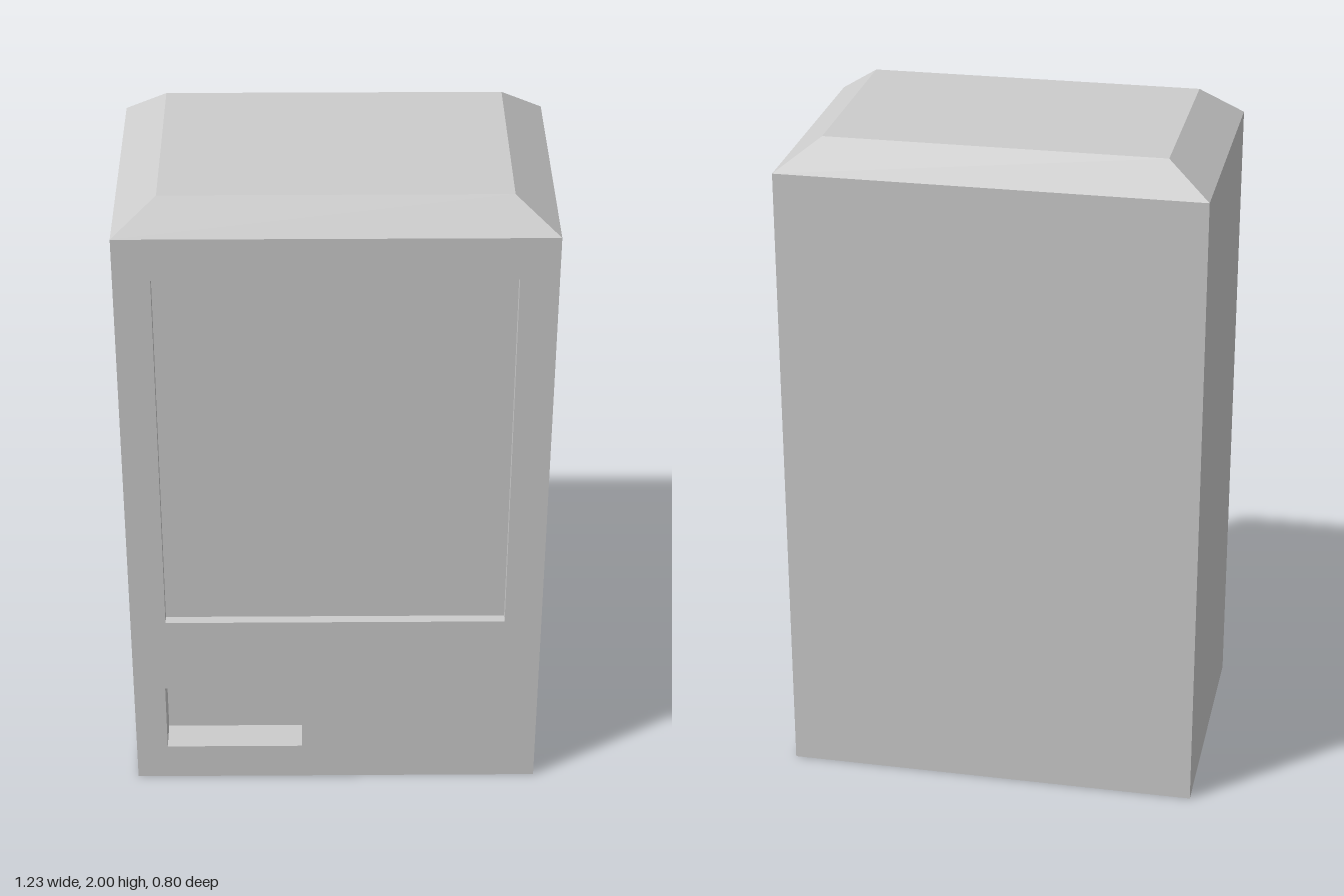
import * as THREE from 'three';

const W = 0.615, D = 0.4, BODY_TOP = 1.91, TOP = 2;
const ROOF_W = 0.49, ROOF_D = 0.315;

// Openings in the front: extents and depth
const WINDOW = { name: 'displayWindowRecess', x0: -0.51, x1: 0.505, y0: 0.6, y1: 1.78, depth: 0.03 };
const TRAY = { name: 'dispenserTrayRecess', x0: -0.52, x1: -0.105, y0: 0.12, y1: 0.35, depth: 0.1 };

const material = new THREE.MeshStandardMaterial({ color: 0xcccccc, flatShading: true });

// Corners of an upright rectangle, counter-clockwise seen from the front
const upright = ({ x0, x1, y0, y1 }, z) => [[x0, y0, z], [x1, y0, z], [x1, y1, z], [x0, y1, z]];

// Corners of a level rectangle, counter-clockwise seen from above
const level = (w, d, y) => [[-w, y, d], [w, y, d], [w, y, -d], [-w, y, -d]];

// Four walls from an open rim to a closed end; one wall can be left out
function cup(rim, end, skip = -1) {
  const quads = [end];
  for (let i = 0; i < 4; i++) {
    const j = (i + 1) % 4;
    if (i !== skip) quads.push([rim[i], rim[j], end[j], end[i]]);
  }
  const points = quads.flatMap(([a, b, c, d]) => [a, b, c, a, c, d]).flat();
  const geometry = new THREE.BufferGeometry();
  geometry.setAttribute('position', new THREE.Float32BufferAttribute(points, 3));
  geometry.computeVertexNormals();
  return geometry;
}

export function createModel() {
  const group = new THREE.Group();
  group.name = 'vendingMachine';
  const add = (name, geometry) => {
    const mesh = new THREE.Mesh(geometry, material);
    mesh.name = name;
    group.add(mesh);
    return mesh;
  };

  // Cabinet: back, sides and underside; the roof closes the top
  const outline = { x0: -W, x1: W, y0: 0, y1: BODY_TOP };
  add('cabinet', cup(upright(outline, D).reverse(), upright(outline, -D).reverse(), 0));

  // Bevelled roof
  add('roof', cup(level(W, D, BODY_TOP), level(ROOF_W, ROOF_D, TOP)));

  // Front panel with its two openings, and a recess behind each
  const panel = new THREE.Shape(upright(outline, 0).map(([x, y]) => new THREE.Vector2(x, y)));
  for (const opening of [WINDOW, TRAY]) {
    const corners = upright(opening, D);
    panel.holes.push(new THREE.Path(corners.map(([x, y]) => new THREE.Vector2(x, y))));
    add(opening.name, cup(corners, upright(opening, D - opening.depth)));
  }
  add('frontPanel', new THREE.ShapeGeometry(panel)).position.z = D;

  return group;
}
